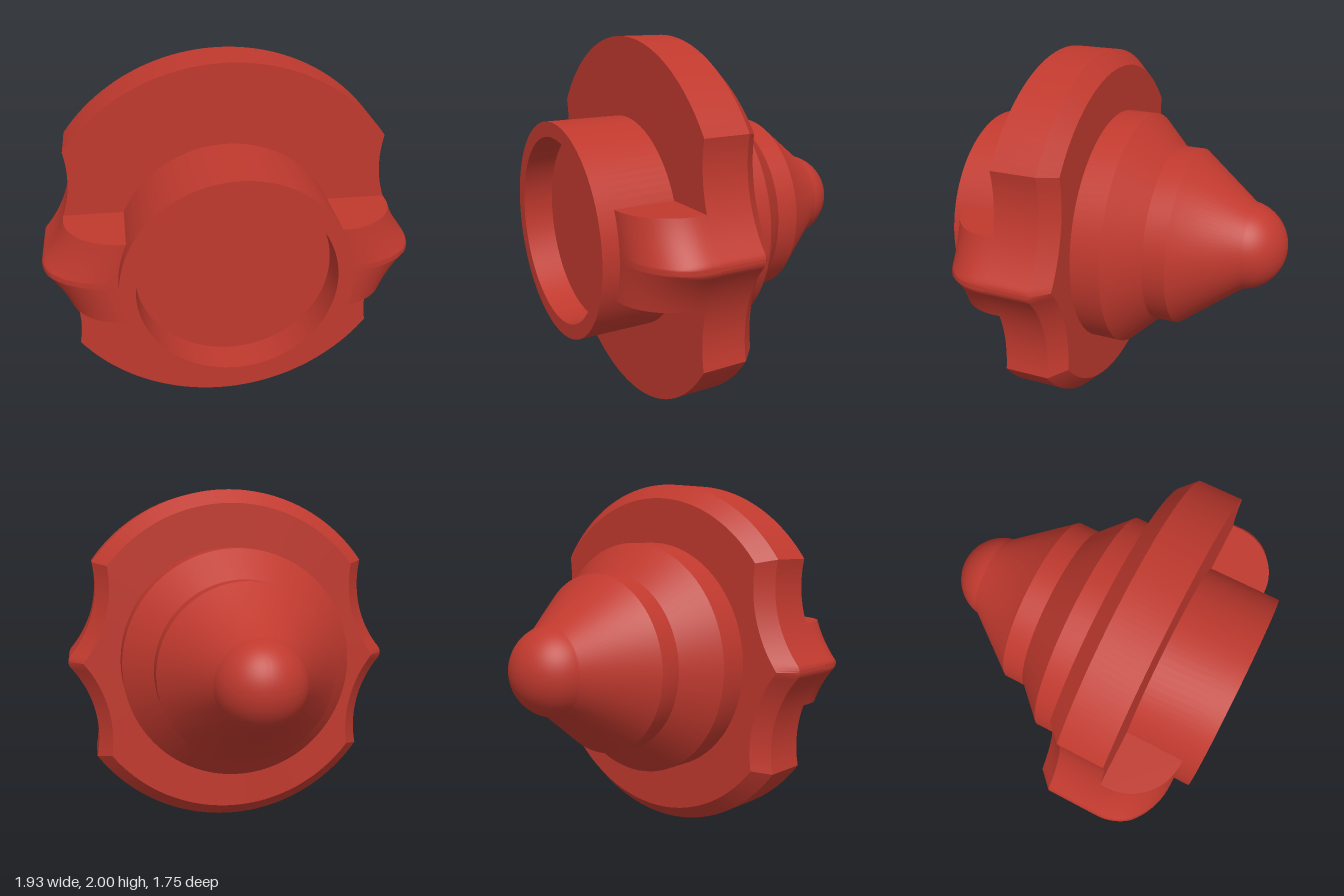
import * as THREE from 'three';
import { toCreasedNormals } from 'three/addons/utils/BufferGeometryUtils.js';

// Rim side: a concave scoop (radius R around SX, SY) running into a rounded tip
const SX = 1.436, SY = 0.45, R = 0.636, TIP_X = 0.905, TIP_R = 0.06;

// x of the rim side at height y, moved inwards by inset
function edgeX(y, inset) {
  const h = Math.abs(y), r = TIP_R - inset;
  if (r > 0 && h < 0.646 * r) return TIP_X + Math.sqrt(r * r - h * h);
  return SX - Math.sqrt((R + inset) ** 2 - (SY - h) ** 2);
}

// Closed rim outline, counter-clockwise, mirrored from one quadrant
function outline(inset) {
  const n = 28, rad = 1 - inset, d = Math.hypot(SX, SY);
  const corner = Math.atan2(SY, SX) +
    Math.acos((rad * rad + d * d - (R + inset) ** 2) / (2 * rad * d));
  const quad = [];
  for (let i = 0; i < n; i++) {
    const y = rad * Math.sin(corner) * (i / n) ** 2;
    quad.push([edgeX(y, inset), y]);
  }
  for (let i = 0; i <= n; i++) {
    const a = corner + (Math.PI / 2 - corner) * i / n;
    quad.push([rad * Math.cos(a), rad * Math.sin(a)]);
  }
  const back = [...quad].reverse();
  const flip = (pts, sx, sy) => pts.slice(0, -1).map(([x, y]) => [x * sx, y * sy]);
  return [...flip(quad, 1, 1), ...flip(back, -1, 1), ...flip(quad, -1, -1), ...flip(back, 1, -1)];
}

// Flange: outline lofted through z, with a chamfered back edge and flat ends
function flangeGeometry() {
  const rings = [[0.08, 0.125, 0], [0.08, 0.125, 1], [0, 0.21, 1], [0, 0.46, 1], [0, 0.46, 0]];
  const pos = [], index = [];
  let n = 0;
  for (const [inset, z, scale] of rings) {
    const pts = outline(inset);
    n = pts.length;
    for (const [x, y] of pts) pos.push(x * scale, y * scale, z);
  }
  for (let r = 0; r < rings.length - 1; r++) {
    for (let i = 0; i < n; i++) {
      const j = (i + 1) % n, a = r * n + i, b = r * n + j;
      if (rings[r][2]) index.push(a, b, b + n);
      if (rings[r + 1][2]) index.push(a, b + n, a + n);
      else index.push(a, b, b + n);
    }
  }
  const g = new THREE.BufferGeometry();
  g.setAttribute('position', new THREE.Float32BufferAttribute(pos, 3));
  g.setIndex(index);
  return toCreasedNormals(g, 0.5);
}

// Grip lug: filleted profile swept across y, its outer side following the rim
function lugGeometry() {
  const half = 0.23, fillet = 0.285;
  const shape = new THREE.Shape();
  shape.moveTo(-0.5, 0.46);
  shape.lineTo(0, 0.46);
  for (let i = 0; i <= 16; i++) {
    const a = i / 16 * Math.PI / 2;
    shape.lineTo(-fillet * (1 - Math.cos(a)), 0.5 + fillet * Math.sin(a));
  }
  shape.lineTo(-0.5, 0.785);
  const g = new THREE.ExtrudeGeometry(shape, { depth: 2 * half, steps: 48, bevelEnabled: false });
  const p = g.attributes.position;
  for (let i = 0; i < p.count; i++) {
    const s = p.getX(i), z = p.getY(i), y = half - p.getZ(i);
    const x = s < -0.4 ? Math.sqrt(0.54 ** 2 - y * y) : edgeX(y, Math.max(0, -s));
    p.setXYZ(i, x, y, z);
  }
  return toCreasedNormals(g, 1.1);
}

// Turned body: ball nose, stepped cones, and front collar with a round recess
function bodyGeometry() {
  const pts = [];
  const end = Math.acos(-0.04 / 0.25);
  for (let i = 0; i <= 24; i++) {
    const a = (Math.PI - end) * i / 24;
    pts.push(new THREE.Vector2(0.25 * Math.sin(a), -0.625 - 0.25 * Math.cos(a)));
  }
  const steps = [[0.5, -0.335], [0.5, -0.21], [0.665, -0.04], [0.665, 0.2], [0.58, 0.3],
    [0.58, 0.875], [0.5, 0.875], [0.5, 0.708], [0, 0.708]];
  for (const [r, z] of steps) pts.push(new THREE.Vector2(r, z));
  const g = new THREE.LatheGeometry(pts, 96);
  g.rotateX(Math.PI / 2);
  return toCreasedNormals(g, 0.5);
}

export function createModel() {
  const model = new THREE.Group();
  const material = new THREE.MeshStandardMaterial({ color: 0xc0392e });
  const add = (name, geometry) => {
    const mesh = new THREE.Mesh(geometry, material);
    mesh.name = name;
    mesh.position.y = 1;
    model.add(mesh);
    return mesh;
  };
  add('body', bodyGeometry());
  add('flange', flangeGeometry());
  const lug = lugGeometry();
  add('leftLug', lug);
  add('rightLug', lug).rotation.z = Math.PI;
  return model;
}
